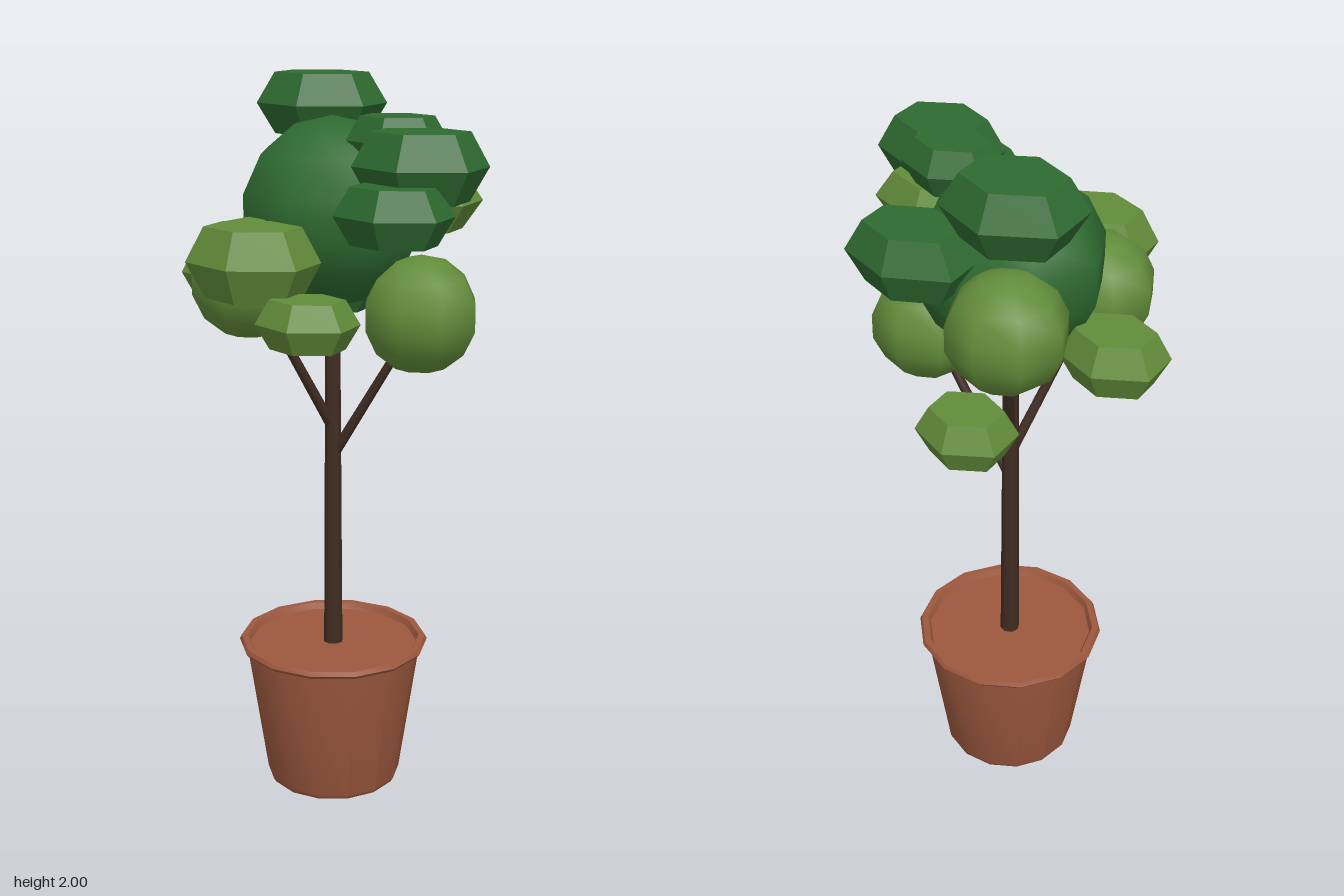
import * as THREE from 'three';
import { toCreasedNormals } from 'three/addons/utils/BufferGeometryUtils.js';

const mat = (color, flatShading = false) => new THREE.MeshStandardMaterial({ color, flatShading });
const DARK = 0x2e6a30, LIGHT = 0x628c3a, CLAY = 0x9c583e, BARK = 0x402c22;
const CX = -0.028; // axis of pot and trunk

const lathe = (pts, sides) =>
  new THREE.LatheGeometry(pts.map(([r, y]) => new THREE.Vector2(r, y)), sides);

// Tapered round limb between two points
function limb(name, a, b, r0, r1, material) {
  const from = new THREE.Vector3(...a), to = new THREE.Vector3(...b);
  const dir = to.clone().sub(from);
  const mesh = new THREE.Mesh(new THREE.CylinderGeometry(r1, r0, dir.length(), 8), material);
  mesh.position.copy(from).add(to).multiplyScalar(0.5);
  mesh.quaternion.setFromUnitVectors(new THREE.Vector3(0, 1, 0), dir.normalize());
  mesh.name = name;
  return mesh;
}

export function createModel() {
  const tree = new THREE.Group();
  tree.name = 'pottedTree';
  const bark = mat(BARK);
  const sphereGreen = { dark: mat(DARK), light: mat(LIGHT) };
  const leafGreen = { dark: mat(DARK, true), light: mat(LIGHT, true) };

  // Pot with rim, inner lip and soil surface
  const potGeo = lathe([
    [0, 0], [0.185, 0], [0.192, 0.012], [0.25, 0.405], [0.262, 0.408], [0.27, 0.418],
    [0.264, 0.43], [0.246, 0.43], [0.238, 0.412], [0, 0.412],
  ], 14);
  const pot = new THREE.Mesh(toCreasedNormals(potGeo, 0.5), mat(CLAY));
  pot.name = 'pot';
  pot.position.x = CX;
  pot.rotation.y = Math.PI / 2;
  tree.add(pot);

  // Trunk and branches
  const crownsLight = [[0.23, 1.395, 0], [-0.155, 1.5, 0.23], [-0.155, 1.6, -0.225]];
  tree.add(limb('trunk', [CX, 0.4, 0], [CX, 1.6, 0], 0.028, 0.02, bark));
  [0.97, 1.05, 1.12].forEach((y, i) =>
    tree.add(limb('branch', [CX, y, 0], crownsLight[i], 0.015, 0.011, bark)));

  // Round crowns: one large, three small
  const crown = (p, r, tone) => {
    const mesh = new THREE.Mesh(new THREE.SphereGeometry(r, 8, 7), sphereGreen[tone]);
    mesh.name = 'crown';
    mesh.position.set(...p);
    tree.add(mesh);
  };
  crown([CX, 1.65, 0], 0.253, 'dark');
  crownsLight.forEach((p) => crown(p, 0.159, 'light'));

  // Flat six-sided leaf clusters: tone, centre x y z, half width, height, depth
  const leafGeo = lathe([[0, -1], [0.72, -1], [1, 0], [0.72, 1], [0, 1]], 6);
  const clusters = [
    ['dark', -0.154, 1.917, -0.192, 0.162, 0.083, 0.155],
    ['dark', 0.098, 1.75, -0.25, 0.156, 0.082, 0.132],
    ['dark', 0.18, 1.85, 0.05, 0.12, 0.063, 0.112],
    ['dark', 0.302, 1.805, 0.185, 0.154, 0.085, 0.147],
    ['dark', 0.283, 1.697, 0.3, 0.136, 0.071, 0.12],
    ['dark', -0.06, 1.42, -0.1, 0.105, 0.052, 0.1],
    ['light', -0.33, 1.465, 0.008, 0.13, 0.074, 0.123],
    ['light', -0.155, 1.415, -0.407, 0.114, 0.064, 0.112],
    ['light', -0.073, 1.567, 0.36, 0.156, 0.09, 0.138],
    ['light', 0.1, 1.434, 0.403, 0.118, 0.062, 0.111],
    ['light', 0.24, 1.71, 0.09, 0.166, 0.072, 0.135],
  ];
  for (const [tone, x, y, z, w, h, d] of clusters) {
    const leaf = new THREE.Mesh(leafGeo, leafGreen[tone]);
    leaf.name = 'leafCluster';
    leaf.position.set(x, y, z);
    leaf.scale.set(w / Math.cos(Math.PI / 6), h, d);
    tree.add(leaf);
  }
  return tree;
}
